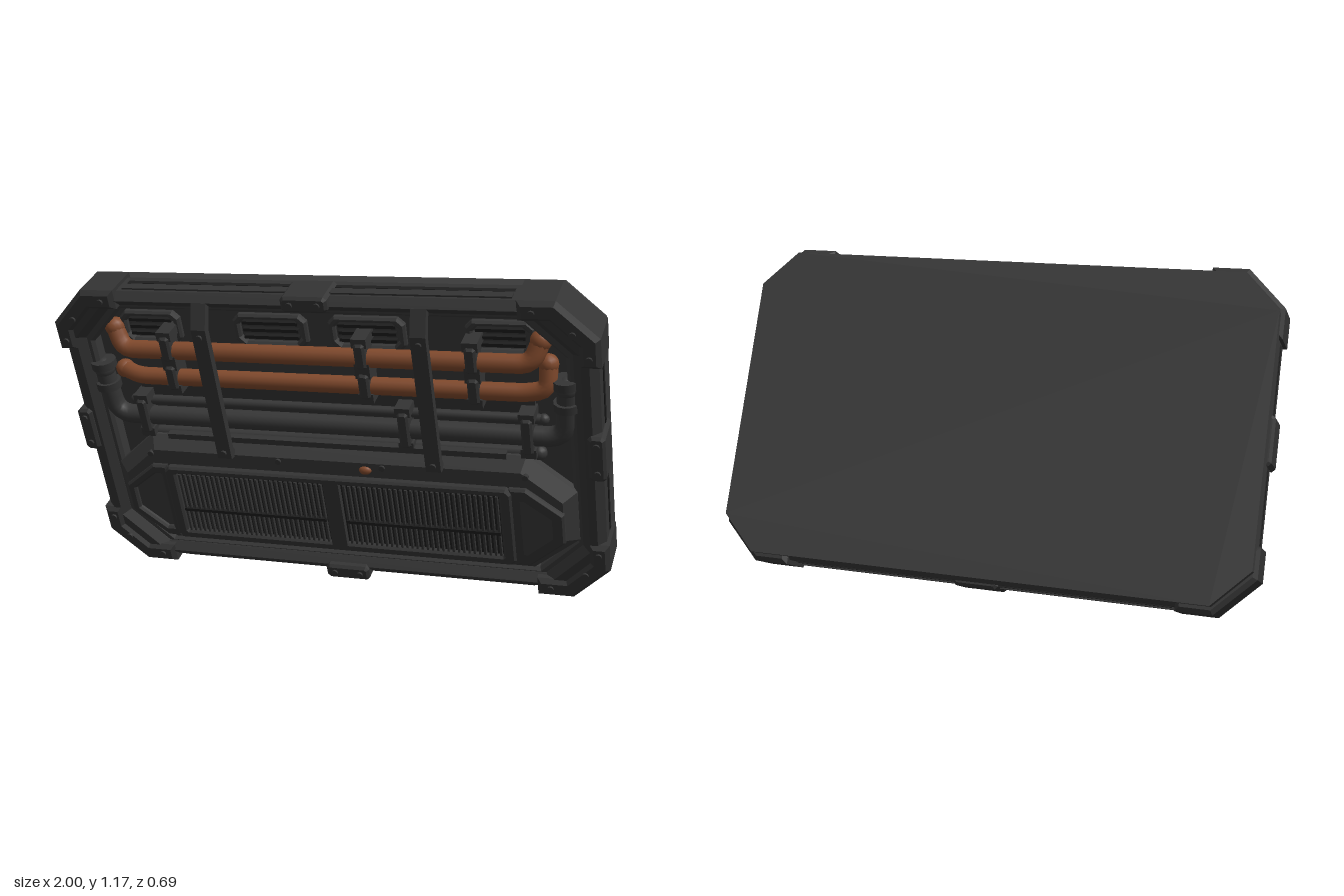
import * as THREE from 'three';

const TILT = 0.42, MID_Y = 0.57;
const mat = (name, color) => Object.assign(new THREE.MeshStandardMaterial({ color }), { name });

// Height along the tilted panel for a world height y at depth n
const up = (y, n) => (y - MID_Y + Math.sin(TILT) * n) / Math.cos(TILT);

const toShape = (pts) => new THREE.Shape(pts.map(([x, y]) => new THREE.Vector2(x, y)));

// Rectangle with cut corners
function octagon(w, y0, y1, cx, cy = cx) {
  return [[-w + cx, y0], [w - cx, y0], [w, y0 + cy], [w, y1 - cy],
    [w - cx, y1], [-w + cx, y1], [-w, y1 - cy], [-w, y0 + cy]];
}

export function createModel() {
  const shell = mat('shell grey', 0x393939);
  const frameGrey = mat('frame grey', 0x333333);
  const pipeGrey = mat('pipe grey', 0x363636);
  const black = mat('vent black', 0x1d1d1d);
  const copper = mat('copper', 0x80492c);

  const root = new THREE.Group();
  root.name = 'utilityPanel';
  const panel = new THREE.Group();
  panel.name = 'tiltedPanel';
  panel.rotation.x = TILT;
  panel.position.y = MID_Y;
  root.add(panel);

  const add = (name, geometry, material) => {
    const mesh = new THREE.Mesh(geometry, material);
    mesh.name = name;
    panel.add(mesh);
    return mesh;
  };
  const box = (name, x, y, n, w, h, d, material) =>
    add(name, new THREE.BoxGeometry(w, h, d).translate(x, y, n), material);
  // Outline extruded from depth n0 to n1, with chamfered edges
  const slab = (name, pts, n0, n1, bevel, material, hole) => {
    const shape = toShape(pts);
    if (hole) shape.holes.push(new THREE.Path(hole.map(([x, y]) => new THREE.Vector2(x, y))));
    const g = new THREE.ExtrudeGeometry(shape, {
      depth: n1 - n0 - 2 * bevel, bevelEnabled: bevel > 0, bevelThickness: bevel,
      bevelSize: bevel, bevelOffset: -bevel, bevelSegments: 1,
    });
    return add(name, g.translate(0, 0, n0 + bevel), material);
  };
  const bolt = (x, y, n, r = 0.012) => add('bolt',
    new THREE.CylinderGeometry(r, r, 0.016, 8).rotateX(Math.PI / 2).translate(x, y, n), frameGrey);

  // Back shell and front frame
  slab('backShell', octagon(0.985, -0.577, 0.577, 0.13), -0.105, 0.005, 0, shell);
  slab('frame', octagon(0.985, -0.588, 0.592, 0.14), -0.06, 0.1, 0.028, frameGrey,
    octagon(0.9, -0.525, 0.535, 0.14));
  slab('innerLip', octagon(0.915, -0.54, 0.55, 0.14), 0.0, 0.07, 0.012, shell,
    octagon(0.875, -0.51, 0.515, 0.14));
  for (const s of [-1, 1]) {
    box('edgeSeam', 0, s * 0.589, 0.005, 1.42, 0.008, 0.02, black);
    box('edgeRail', 0, s * 0.59, 0.045, 1.42, 0.016, 0.035, frameGrey);
    box('sideSeam', s * 0.984, 0, 0.005, 0.008, 0.7, 0.02, black);
  }

  // Corner brackets with bolts
  for (const sx of [-1, 1]) for (const sy of [-1, 1]) {
    const pts = [[0.73, 0.605], [0.86, 0.605], [0.998, 0.47], [0.998, 0.36],
      [0.925, 0.36], [0.925, 0.44], [0.835, 0.53], [0.73, 0.53]];
    slab('cornerBracket', pts.map(([x, y]) => [sx * x, sy * y]), -0.065, 0.113, 0.016, frameGrey);
    for (const [x, y] of [[0.78, 0.565], [0.91, 0.49], [0.96, 0.4]]) bolt(sx * x, sy * y, 0.113);
  }

  // Latches at the middle of each edge
  for (const s of [-1, 1]) {
    slab('edgeLatch', octagon(0.085, s * 0.575 - 0.03, s * 0.575 + 0.03, 0.012), -0.02, 0.12, 0.01, frameGrey);
    for (const x of [-0.05, 0.05]) bolt(x, s * 0.575, 0.12);
    slab('sideLatch', octagon(0.03, -0.08, 0.1, 0.012), -0.03, 0.115, 0.01, frameGrey)
      .position.x = s * 0.97;
    for (const y of [-0.045, 0.065]) bolt(s * 0.97, y, 0.115);
  }

  // Louvred boxes behind the pipes
  for (const [x, w] of [[-0.65, 0.24], [-0.18, 0.28], [0.18, 0.28], [0.65, 0.24]]) {
    const y = up(0.945, 0.02);
    slab('louvreFrame', octagon(w / 2, y - 0.065, y + 0.065, 0.025), 0, 0.03, 0.008, pipeGrey,
      octagon(w / 2 - 0.025, y - 0.045, y + 0.045, 0.02)).position.x = x;
    for (let i = -1; i <= 1; i++) box('louvreSlat', x, y + i * 0.028, 0.014, w - 0.07, 0.012, 0.018, black);
  }
  box('recessPlate', 0, up(0.69, 0.01), 0.01, 1.5, 0.16, 0.02, frameGrey);

  // Pipes, traced in front-view heights
  const pipe = (name, pts, n, r, material) => {
    const path = new THREE.CurvePath();
    const v = pts.map(([x, y, dn = 0]) => new THREE.Vector3(x, up(y, n), n + dn));
    let from = v[0];
    for (let i = 1; i < v.length - 1; i++) {
      const bend = Math.min(0.07, v[i].distanceTo(v[i - 1]) * 0.5, v[i].distanceTo(v[i + 1]) * 0.5);
      const a = v[i].clone().add(v[i - 1].clone().sub(v[i]).setLength(bend));
      const b = v[i].clone().add(v[i + 1].clone().sub(v[i]).setLength(bend));
      path.add(new THREE.LineCurve3(from, a));
      path.add(new THREE.QuadraticBezierCurve3(a, v[i], b));
      from = b;
    }
    path.add(new THREE.LineCurve3(from, v[v.length - 1]));
    add(name, new THREE.TubeGeometry(path, 90, r, 12), material);
    for (const end of [v[0], v[v.length - 1]])
      add('pipeEnd', new THREE.SphereGeometry(r * 1.12, 12, 8).translate(end.x, end.y, end.z), material);
  };
  pipe('upperCopperPipe', [[-0.79, 0.93, -0.03], [-0.76, 0.862], [0.76, 0.862], [0.79, 0.93, -0.03]], 0.065, 0.034, copper);
  pipe('lowerCopperPipe', [[-0.79, 0.77, -0.03], [-0.72, 0.76], [0.74, 0.76], [0.81, 0.775], [0.81, 0.85, -0.03]], 0.065, 0.032, copper);
  pipe('largeGreyPipe', [[-0.87, 0.78], [-0.86, 0.6], [0.86, 0.6], [0.87, 0.78]], 0.05, 0.036, pipeGrey);
  pipe('thinGreyPipe', [[-0.78, 0.66], [0.78, 0.66]], 0.03, 0.018, pipeGrey);
  pipe('lowGreyPipe', [[-0.76, 0.535], [0.76, 0.535]], 0.04, 0.024, pipeGrey);
  for (const s of [-1, 1]) for (const y of [0.72, 0.8])
    add('pipeCollar', new THREE.CylinderGeometry(0.048, 0.048, 0.03, 12)
      .translate(s * 0.868, up(y, 0.05), 0.05), frameGrey);

  // Pipe clamps
  const clamp = (x, y0, y1, n) => {
    const a = up(y0, n), b = up(y1, n);
    slab('pipeClamp', octagon(0.02, a, b, 0.008), 0, n, 0.008, frameGrey).position.x = x;
    for (const y of [a, b]) box('clampFoot', x, y, n / 2 - 0.005, 0.055, 0.035, n - 0.01, frameGrey);
  };
  for (const x of [-0.57, 0.17, 0.56]) {
    clamp(x, 0.71, 0.8, 0.107);
    clamp(x, 0.82, 0.91, 0.107);
  }
  for (const x of [-0.73, 0.29, 0.73]) clamp(x, 0.53, 0.66, 0.095);

  // Two vertical straps over the pipes
  for (const x of [-0.4, 0.4]) {
    const profile = [[0.08, -0.075], [0.145, -0.06], [0.145, 0.48], [0.1, 0.565], [0.07, 0.56], [0.115, 0.47], [0.115, -0.03]];
    const g = new THREE.ExtrudeGeometry(toShape(profile), { depth: 0.055, bevelEnabled: false });
    add('strap', g.rotateY(-Math.PI / 2).translate(x + 0.0275, 0, 0), frameGrey);
    bolt(x, -0.035, 0.146);
    bolt(x, 0.45, 0.146);
  }

  // Lower housing
  slab('lowerHousing', octagon(0.89, -0.5, -0.015, 0.17, 0.14), 0, 0.118, 0.045, shell);
  box('housingLedge', 0, -0.02, 0.05, 1.3, 0.03, 0.07, frameGrey);
  for (const x of [-0.72, -0.2, 0.2, 0.72]) bolt(x, -0.075, 0.118);
  add('copperCap', new THREE.SphereGeometry(0.024, 12, 8).scale(1, 0.7, 0.6)
    .translate(0.135, up(0.44, 0.118), 0.118), copper);

  // Raised end trims on the housing
  for (const s of [-1, 1]) {
    const outer = [[0.66, -0.12], [0.72, -0.12], [0.85, -0.22], [0.85, -0.34], [0.72, -0.45], [0.66, -0.45]];
    const inner = [[0.69, -0.16], [0.715, -0.16], [0.815, -0.235], [0.815, -0.325], [0.715, -0.41], [0.69, -0.41]];
    const flip = (pts) => pts.map(([x, y]) => [s * x, y]);
    slab('endTrim', flip(outer), 0.09, 0.136, 0.008, frameGrey, flip(inner));
  }

  // Vent: frame, dark bed, fine upright slats
  const v0 = -0.45, v1 = -0.12, vm = (v0 + v1) / 2;
  slab('ventFrame', octagon(0.67, v0, v1, 0.02), 0.1, 0.145, 0.008, frameGrey,
    octagon(0.625, v0 + 0.035, v1 - 0.03, 0.004));
  box('ventBed', 0, vm, 0.116, 1.26, v1 - v0 - 0.05, 0.012, black);
  box('ventDivider', 0, vm, 0.13, 0.06, v1 - v0 - 0.04, 0.03, frameGrey);
  for (const s of [-1, 1]) {
    for (let i = 0; i < 30; i++)
      box('ventSlat', s * (0.046 + i * 0.0196), vm, 0.128, 0.008, v1 - v0 - 0.07, 0.018, frameGrey);
    box('ventCrossbar', s * 0.33, vm - 0.03, 0.132, 0.58, 0.012, 0.016, black);
  }
  return root;
}
